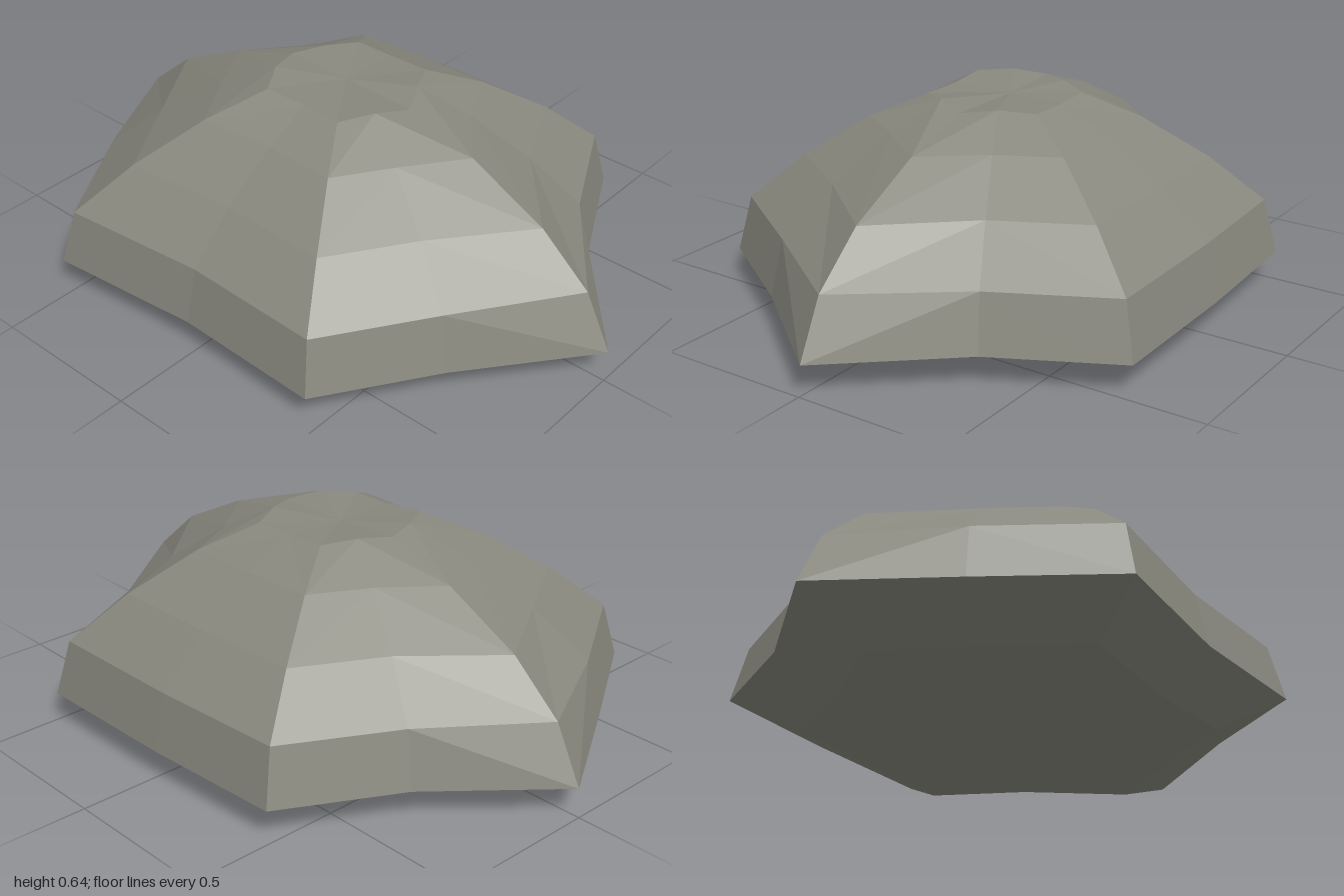
import * as THREE from 'three';

// Widest outline of the stone, twelve [x, z] corners going round from +x towards +z
const outline = [
  [1, -0.01], [0.7, 0.37], [0.47, 0.72], [-0.02, 0.705], [-0.535, 0.755], [-0.77, 0.375],
  [-1, -0.01], [-0.69, -0.365], [-0.49, -0.73], [-0.02, -0.755], [0.485, -0.76], [0.68, -0.38],
];

// Rings from the ground up: height, outline scale at the two side tips, scale elsewhere
const rings = [
  [0, 0.72, 0.74],
  [0.1, 1, 1],
  [0.278, 0.91, 0.945],
  [0.425, 0.74, 0.735],
  [0.555, 0.48, 0.49],
  [0.637, 0.24, 0.275],
];

// Small unevenness of the crown ring, as height offsets
const crownBumps = [-0.012, 0.004, -0.008, -0.006, 0.001, 0.008, 0, 0.006, -0.004, -0.008, -0.006, 0.002];

function stoneGeometry() {
  const n = outline.length;
  const positions = [];
  const index = [];

  rings.forEach(([y, tip, rest], r) => {
    outline.forEach(([x, z], k) => {
      const s = k % 6 === 0 ? tip : rest;
      const bump = r === rings.length - 1 ? crownBumps[k] : 0;
      positions.push(x * s, y + bump, z * s);
    });
  });
  const base = positions.length / 3;
  positions.push(0, 0, 0); // underside centre
  positions.push(-0.02, 0.628, -0.01); // slightly sunken crown centre

  for (let k = 0; k < n; k++) {
    const j = (k + 1) % n;
    for (let r = 0; r < rings.length - 1; r++) {
      const a = r * n + k, b = r * n + j, c = a + n, d = b + n;
      // Diagonals run from the six main corners
      if (k % 2 === 0) index.push(a, c, d, a, d, b);
      else index.push(a, c, b, b, c, d);
    }
    const top = (rings.length - 1) * n;
    index.push(base, k, j);
    index.push(base + 1, top + j, top + k);
  }

  const geometry = new THREE.BufferGeometry();
  geometry.setAttribute('position', new THREE.Float32BufferAttribute(positions, 3));
  geometry.setIndex(index);
  const flat = geometry.toNonIndexed();
  flat.computeVertexNormals();
  return flat;
}

export function createModel() {
  const group = new THREE.Group();
  group.name = 'rock';

  const stoneGrey = new THREE.MeshStandardMaterial({ color: 0x88887e, flatShading: true });
  stoneGrey.name = 'stone grey';

  const stone = new THREE.Mesh(stoneGeometry(), stoneGrey);
  stone.name = 'stone';
  group.add(stone);
  return group;
}
